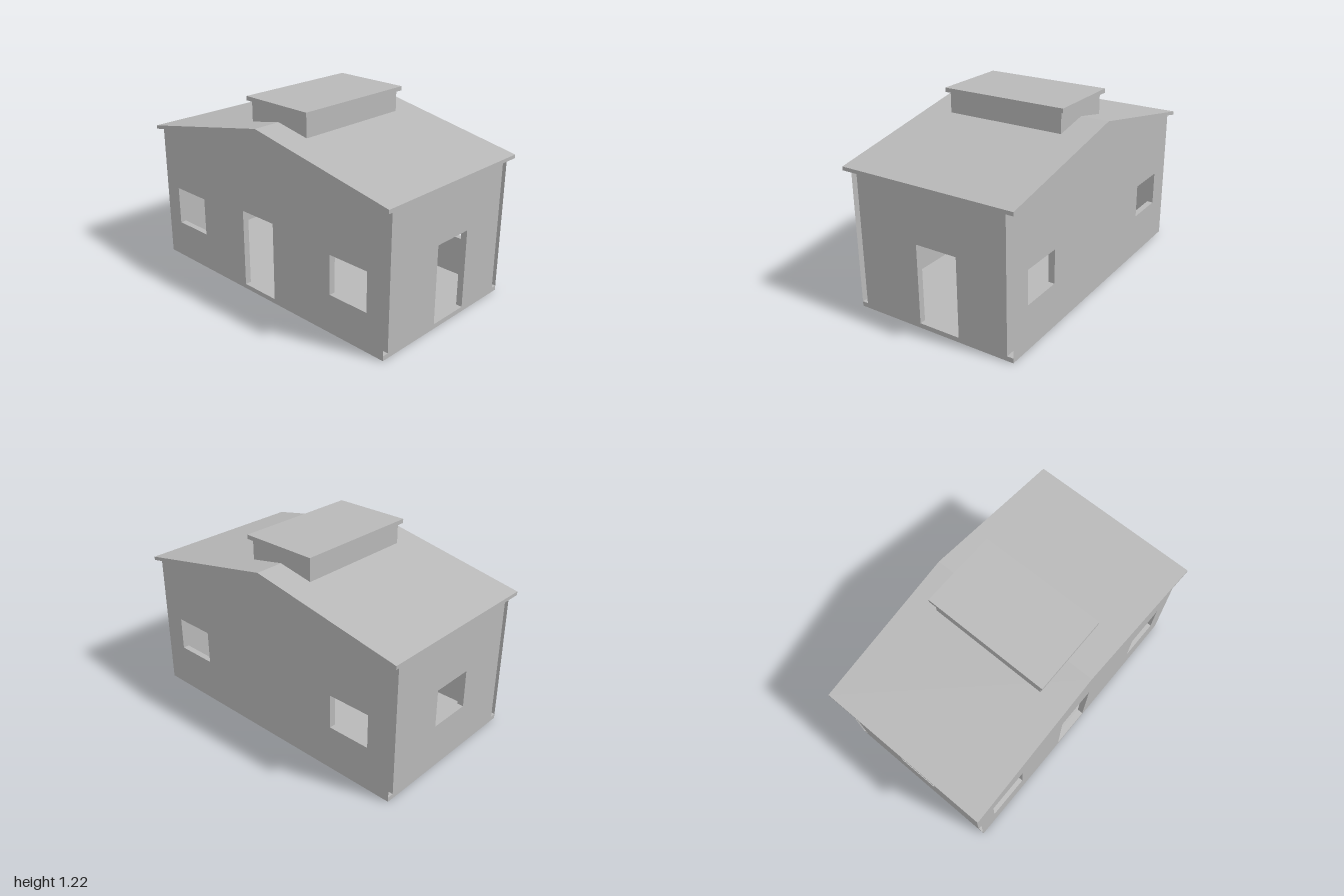
import * as THREE from 'three';

const W = 0.965, D = 0.545, T = 0.04;          // half width, half depth, wall thickness
const FLOOR = 0.03;
const EAVE = 0.885, RIDGE = 1.08, ROOF_T = 0.023;
const under = (x) => RIDGE - Math.abs(x) * (RIDGE - EAVE); // underside of the roof at x

const rect = (Type, [x0, x1, y0, y1]) =>
  new Type([[x0, y0], [x1, y0], [x1, y1], [x0, y1]].map((p) => new THREE.Vector2(...p)));

export function createModel() {
  const house = new THREE.Group();
  house.name = 'house';
  const grey = new THREE.MeshStandardMaterial({ color: 0xb8b8b8, side: THREE.DoubleSide });
  grey.name = 'plain grey';

  const add = (parent, name, geometry, x = 0, y = 0, z = 0) => {
    const mesh = new THREE.Mesh(geometry, grey);
    mesh.name = name;
    mesh.position.set(x, y, z);
    parent.add(mesh);
    return mesh;
  };

  // Gable outline for the front and back, plain rectangle for the sides
  const gable = (half) => new THREE.Shape([
    [-half, 0.004], [half, 0.004], [half, under(half)], [0, RIDGE], [-half, under(half)],
  ].map((p) => new THREE.Vector2(...p)));
  const side = (half) => rect(THREE.Shape, [-half, half, 0.004, under(W)]);

  // Open-ended rectangular sleeve lining an opening
  const sleeve = ([x0, x1, y0, y1]) => {
    const g = new THREE.CylinderGeometry(Math.SQRT1_2, Math.SQRT1_2, 1, 4, 1, true, Math.PI / 4)
      .toNonIndexed();
    g.rotateX(Math.PI / 2);
    g.scale(x1 - x0, y1 - y0, T);
    g.computeVertexNormals();
    g.translate((x0 + x1) / 2, (y0 + y1) / 2, 0);
    return g;
  };

  // A wall is two thin skins joined only by the linings of its openings
  const wall = (name, outline, half, openings) => {
    const group = new THREE.Group();
    group.name = name;
    for (const [skin, z] of [['SkinA', T / 2], ['SkinB', -T / 2]]) {
      const shape = outline(half);
      shape.holes = openings.map((o) => rect(THREE.Path, o));
      add(group, name + skin, new THREE.ShapeGeometry(shape), 0, 0, z);
    }
    openings.forEach((o, i) => add(group, `${name}Opening${i + 1}`, sleeve(o)));
    house.add(group);
    return group;
  };

  // Front: door and two windows; back: two windows
  wall('frontWall', gable, W, [
    [-0.175, 0.097, FLOOR, 0.535], [-0.845, -0.565, 0.247, 0.497], [0.565, 0.84, 0.247, 0.497],
  ]).position.z = D - T / 2;
  wall('backWall', gable, W, [
    [-0.805, -0.528, 0.288, 0.505], [0.542, 0.818, 0.284, 0.5],
  ]).position.z = -(D - T / 2);

  // Sides: a door on the left, a window on the right
  const left = wall('leftWall', side, D - T, [[-0.095, 0.18, FLOOR, 0.535]]);
  const right = wall('rightWall', side, D - T, [[-0.148, 0.132, 0.29, 0.535]]);
  left.position.x = W - T / 2;
  right.position.x = -(W - T / 2);
  left.rotation.y = right.rotation.y = Math.PI / 2;

  // Floor slab
  add(house, 'floor', new THREE.BoxGeometry(2 * W, FLOOR, 2 * D), 0, FLOOR / 2, 0);

  // Shallow pitched roof
  const roofDepth = 1.15;
  const roof = new THREE.Shape([
    [-1, EAVE], [0, RIDGE], [1, EAVE], [1, EAVE + ROOF_T], [0, RIDGE + ROOF_T], [-1, EAVE + ROOF_T],
  ].map((p) => new THREE.Vector2(...p)));
  add(house, 'roof', new THREE.ExtrudeGeometry(roof, { depth: roofDepth, bevelEnabled: false }),
    0, 0, -roofDepth / 2);

  // Roof lantern sitting astride the ridge, with a flat cap
  const cx = 0.233, top = 1.19;
  const lantern = new THREE.Shape([
    [-cx, under(cx) + ROOF_T], [0, RIDGE + ROOF_T], [cx, under(cx) + ROOF_T], [cx, top], [-cx, top],
  ].map((p) => new THREE.Vector2(...p)));
  add(house, 'roofLantern', new THREE.ExtrudeGeometry(lantern, { depth: 0.784, bevelEnabled: false }),
    0, 0, -0.392);
  add(house, 'lanternCap', new THREE.BoxGeometry(0.51, 0.027, 0.83), 0, top + 0.0135, 0);

  return house;
}
